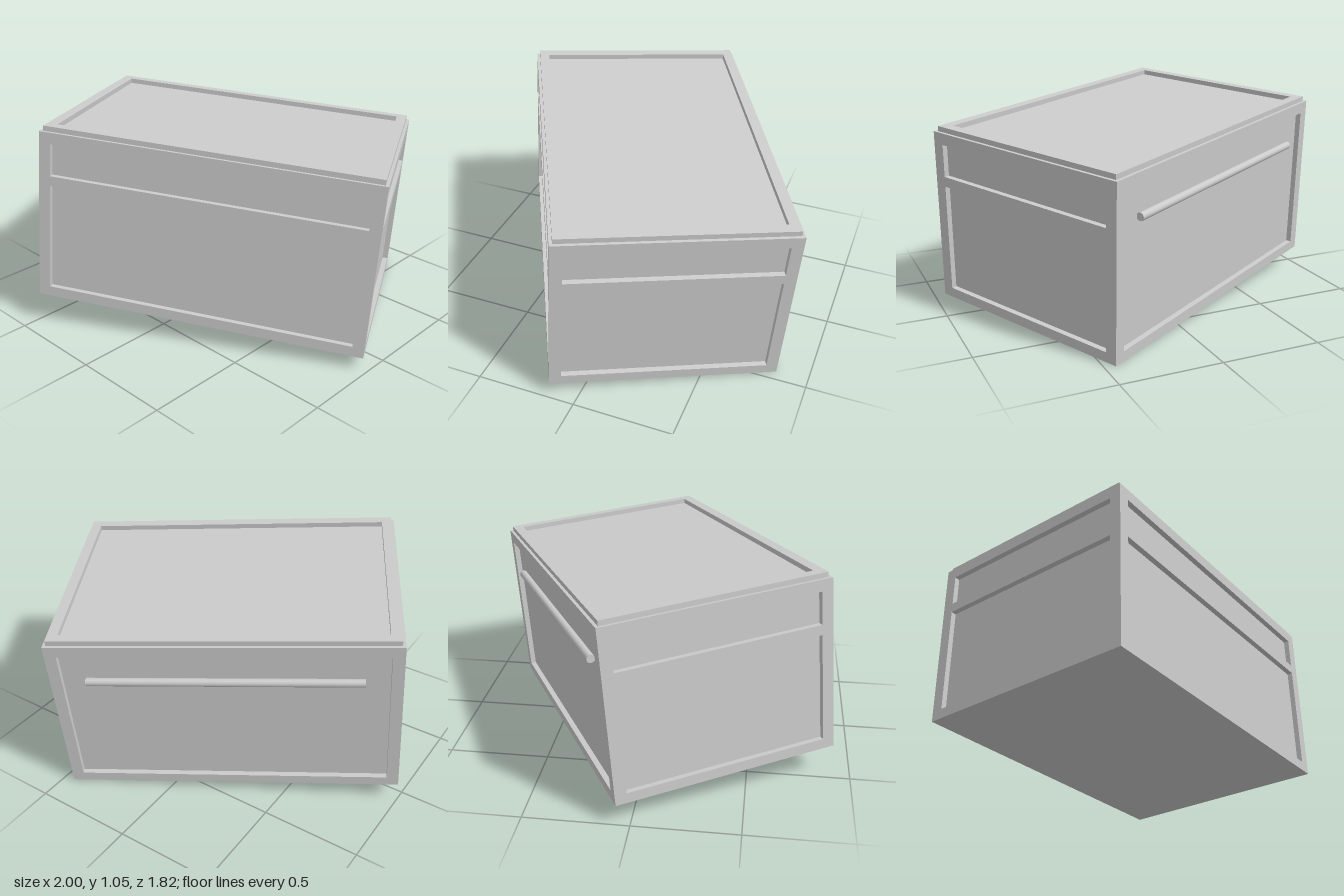
import * as THREE from 'three';

const L = 1.645, W = 1.11, H = 0.86;      // length, depth, height of the cabinet
const T = 0.027;                          // frame thickness
const M = 0.057;                          // frame border width

const material = new THREE.MeshStandardMaterial({ color: 0xcccccc });

function add(parent, name, geometry, x = 0, y = 0, z = 0) {
  const mesh = new THREE.Mesh(geometry, material);
  mesh.name = name;
  mesh.position.set(x, y, z);
  parent.add(mesh);
  return mesh;
}

// Flat frame in the xy plane; holes are [x0, y0, x1, y1]
function frameGeometry(x0, y0, x1, y1, holes, depth) {
  const rect = (P, a, b, c, d) =>
    new P([[a, b], [c, b], [c, d], [a, d]].map(([x, y]) => new THREE.Vector2(x, y)));
  const shape = rect(THREE.Shape, x0, y0, x1, y1);
  for (const h of holes) shape.holes.push(rect(THREE.Path, ...h));
  return new THREE.ExtrudeGeometry(shape, { depth, bevelEnabled: false });
}

export function createModel() {
  const model = new THREE.Group();
  model.name = 'cabinet';

  // Solid core whose sides show as the recessed panels
  add(model, 'corePanels', new THREE.BoxGeometry(L - 2 * T, H, W - 2 * T), 0, H / 2, 0);

  // Framed sides: [name, turn, half width, hole half width, distance, openings in height]
  const split = [[0.05, 0.592], [0.642, 0.803]];
  const single = [[0.05, 0.803]];
  const sides = [
    ['frontFrame', 0, L / 2, L / 2 - M, W / 2, split],
    ['backFrame', Math.PI, L / 2, L / 2 - M, W / 2, single],
    ['leftFrame', Math.PI / 2, W / 2 - T, W / 2 - M, L / 2, split],
    ['rightFrame', -Math.PI / 2, W / 2 - T, W / 2 - M, L / 2, split],
  ];
  for (const [name, turn, half, hole, dist, rows] of sides) {
    const side = new THREE.Group();
    side.rotation.y = turn;
    model.add(side);
    const holes = rows.map(([a, b]) => [-hole, a, hole, b]);
    add(side, name, frameGeometry(-half, 0, half, H, holes, T), 0, 0, dist - T);
  }

  // Raised rim around the top panel
  const x = L / 2 - 0.015, z = W / 2 - 0.015;
  const hx = L / 2 - 0.065, hz = W / 2 - 0.065;
  const rim = frameGeometry(-x, -z, x, z, [[-hx, -hz, hx, hz]], 0.025);
  add(model, 'topRim', rim.rotateX(-Math.PI / 2), 0, H, 0);

  // Long handle bar on the back panel
  const bar = new THREE.CylinderGeometry(0.02, 0.02, 1.3, 12).rotateZ(Math.PI / 2);
  add(model, 'handleBar', bar, 0, 0.65, -W / 2 + T - 0.018);

  // Turned and slightly tilted pose
  const u = new THREE.Vector3(0.879, -0.061, -0.473).normalize();
  const up = new THREE.Vector3(0.479, 0.0587, 0.876).cross(u).normalize();
  const w = u.clone().cross(up);
  model.quaternion.setFromRotationMatrix(new THREE.Matrix4().makeBasis(u, up, w));
  model.position.set(-0.011, 0.083, 0.035);

  const root = new THREE.Group();
  root.add(model);
  return root;
}
